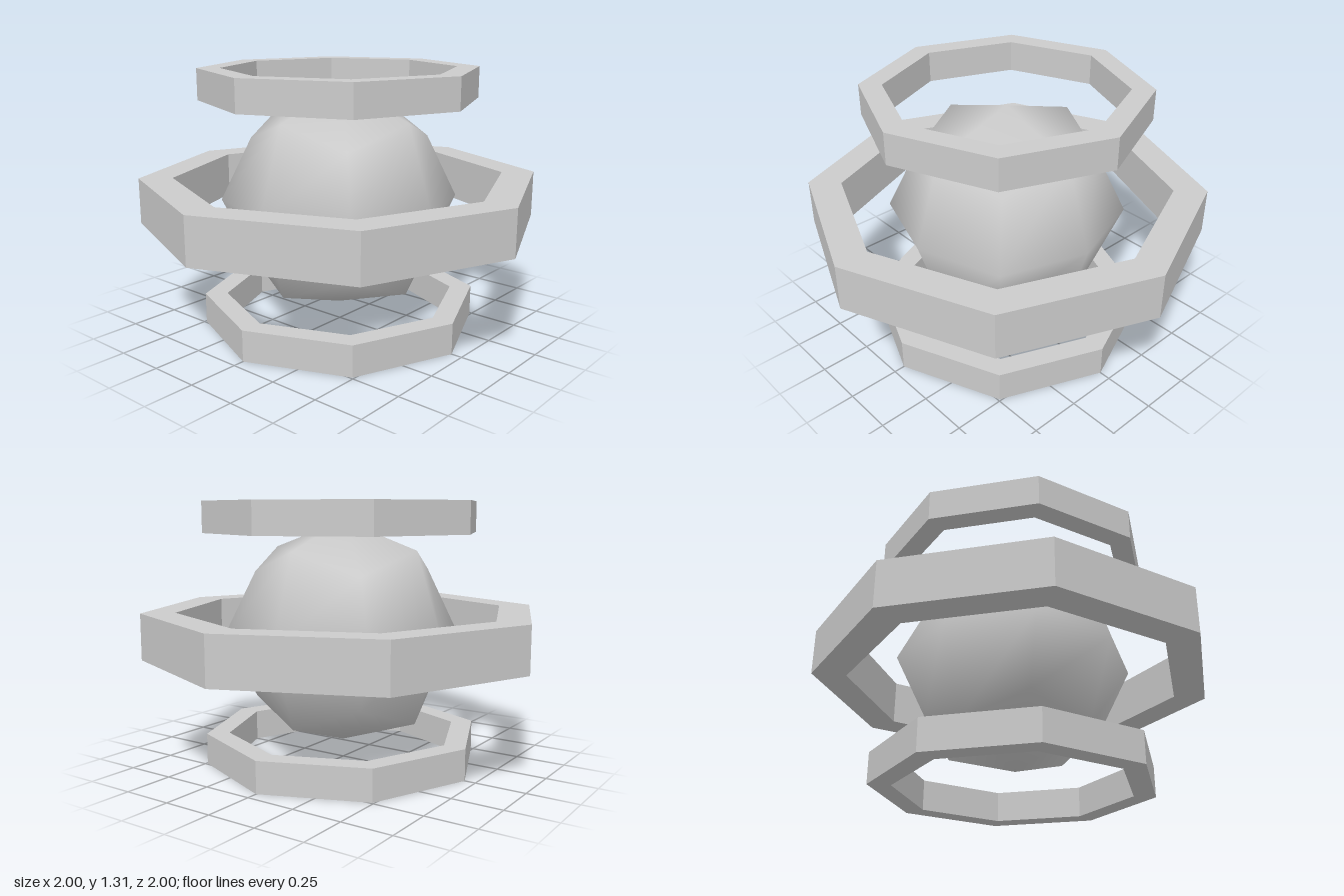
import * as THREE from 'three';
import { mergeVertices } from 'three/addons/utils/BufferGeometryUtils.js';

const MID = 0.655;
const material = new THREE.MeshStandardMaterial({ color: 0xcccccc });
const flatMaterial = new THREE.MeshStandardMaterial({ color: 0xcccccc, flatShading: true });

// Octagonal band with a rectangular section, corners on the axes
function makeRing(name, outer, inner, height, y) {
  const h = height / 2;
  const profile = [[inner, -h], [outer, -h], [outer, h], [inner, h], [inner, -h]]
    .map(([r, v]) => new THREE.Vector2(r, v));
  const ring = new THREE.Mesh(new THREE.LatheGeometry(profile, 8), flatMaterial);
  ring.name = name;
  ring.position.y = y;
  return ring;
}

// Cube with each face split in four, rounded once: face centres stay out,
// edge midpoints and corners are pulled in
function makeCore() {
  let geometry = new THREE.BoxGeometry(2, 2, 2, 2, 2, 2);
  geometry.deleteAttribute('uv');
  geometry.deleteAttribute('normal');
  geometry = mergeVertices(geometry);
  const reach = [0, 0.5615, 0.421, 0.312];
  const pos = geometry.attributes.position;
  for (let i = 0; i < pos.count; i++) {
    const p = [pos.getX(i), pos.getY(i), pos.getZ(i)].map(Math.round);
    const r = reach[p.filter((c) => c !== 0).length];
    pos.setXYZ(i, p[0] * r, p[1] * r, p[2] * r);
  }
  geometry.computeVertexNormals();
  const core = new THREE.Mesh(geometry, material);
  core.name = 'core';
  core.position.y = MID;
  return core;
}

export function createModel() {
  const model = new THREE.Group();
  model.name = 'ringedOrb';
  model.add(
    makeCore(),
    makeRing('middleRing', 1, 0.833, 0.23, MID),
    makeRing('upperRing', 0.695, 0.583, 0.155, 2 * MID - 0.0775),
    makeRing('lowerRing', 0.695, 0.583, 0.155, 0.0775),
  );
  return model;
}
